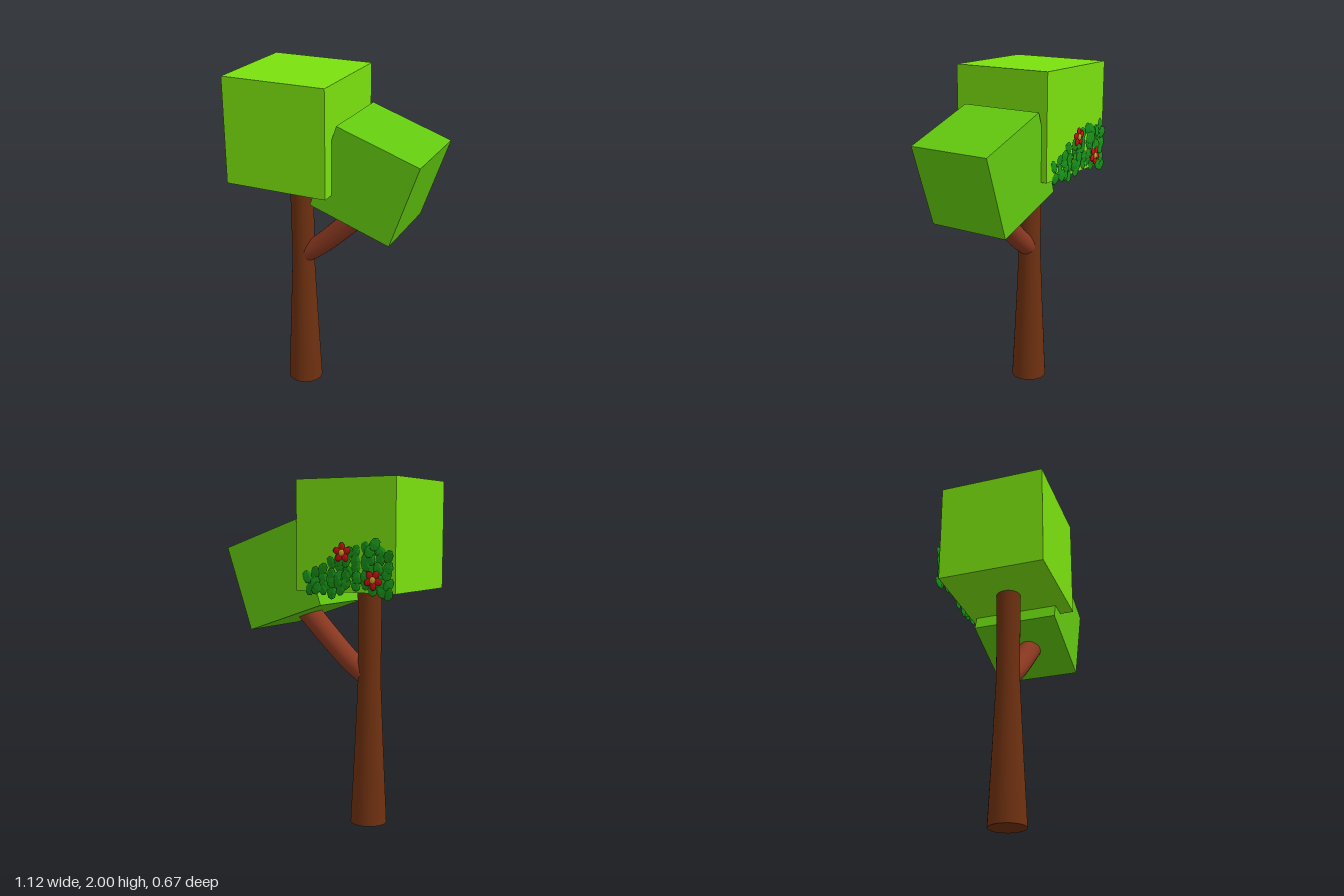
import * as THREE from 'three';

const mat = (color) => new THREE.MeshStandardMaterial({ color });
const flat = (color) => {
  const m = mat(color);
  m.flatShading = true;
  return m;
};

function add(parent, name, geometry, material, x = 0, y = 0, z = 0) {
  const mesh = new THREE.Mesh(geometry, material);
  mesh.name = name;
  mesh.position.set(x, y, z);
  parent.add(mesh);
  return mesh;
}

// Repeatable number in -1..1
function seeded(seed) {
  let s = seed;
  return () => {
    s = (s * 16807) % 2147483647;
    return (s / 2147483647) * 2 - 1;
  };
}

// Tapering branch: a tube with widths set per ring, closed by end caps
function branchGeometry(points, radii, sides) {
  const curve = new THREE.CatmullRomCurve3(points);
  const steps = 12;
  const geo = new THREE.TubeGeometry(curve, steps, 1, sides, false);
  const pos = geo.attributes.position;
  const p = new THREE.Vector3();
  for (let i = 0; i < pos.count; i++) {
    const t = Math.floor(i / (sides + 1)) / steps;
    const c = curve.getPointAt(t);
    p.fromBufferAttribute(pos, i).sub(c);
    p.multiplyScalar(THREE.MathUtils.lerp(radii[0], radii[1], t)).add(c);
    pos.setXYZ(i, p.x, p.y, p.z);
  }
  geo.computeVertexNormals();
  return { geo, curve };
}

// Flat flower with five petals and a round centre, facing -z
function makeFlower(x, y, z, turn) {
  const flower = new THREE.Group();
  flower.name = 'flower';
  const petal = new THREE.SphereGeometry(0.024, 8, 6).scale(1, 0.8, 0.3);
  for (let i = 0; i < 5; i++) {
    const a = turn + (i * Math.PI * 2) / 5;
    const m = add(flower, 'petal', petal, mat(0xc81010), Math.cos(a) * 0.032, Math.sin(a) * 0.032, 0);
    m.rotation.z = a;
  }
  add(flower, 'flowerCentre', new THREE.SphereGeometry(0.019, 8, 6).scale(1, 1, 0.5), mat(0xc8a020), 0, 0, -0.004);
  flower.position.set(x, y, z);
  return flower;
}

export function createModel() {
  const tree = new THREE.Group();
  tree.name = 'tree';
  const zc = 0.025;

  // Trunk, flared at the foot
  const profile = [[0, 0], [0.107, 0], [0.085, 0.45], [0.067, 0.86], [0.069, 1.15], [0.071, 1.42], [0, 1.42]]
    .map(([r, y]) => new THREE.Vector2(r, y));
  const trunkGeo = new THREE.LatheGeometry(profile.slice(1, -1), 32);
  add(tree, 'trunk', trunkGeo, mat(0x6e3010), -0.247, 0, zc);
  const foot = add(tree, 'trunkFoot', new THREE.CircleGeometry(0.107, 32), mat(0x6e3010), -0.247, 0, zc);
  foot.rotation.x = Math.PI / 2;

  // Side branch
  const { geo, curve } = branchGeometry([
    new THREE.Vector3(-0.217, 0.887, zc),
    new THREE.Vector3(-0.125, 0.955, zc),
    new THREE.Vector3(0.03, 1.1, zc),
    new THREE.Vector3(0.2, 1.27, zc),
  ], [0.06, 0.068], 24);
  const bark = mat(0x8a3820);
  add(tree, 'branch', geo, bark);
  const start = curve.getPointAt(0);
  const cap = add(tree, 'branchEnd', new THREE.CircleGeometry(0.06, 24), bark, start.x, start.y, start.z);
  cap.lookAt(start.clone().sub(curve.getTangentAt(0)));

  // Block-shaped crowns
  add(tree, 'largeCrown', new THREE.BoxGeometry(0.617, 0.615, 0.62), mat(0x7ae00e), -0.254, 1.6925, 0.025);
  const small = add(tree, 'smallCrown', new THREE.BoxGeometry(0.505, 0.505, 0.505), mat(0x62c80f), 0.24, 1.461, 0.0025);
  small.rotation.z = -0.33;

  // Patch of thin leaves on the back of the large crown
  const foliage = new THREE.Group();
  foliage.name = 'foliage';
  const leafGeo = new THREE.SphereGeometry(0.036, 6, 4).scale(0.85, 1.05, 0.2);
  const leafMat = flat(0x189018);
  const rand = seeded(77);
  const columns = 11;
  for (let i = 0; i < columns; i++) {
    const x = -0.53 + i * 0.05;
    const upper = x > -0.36
      ? THREE.MathUtils.mapLinear(x, -0.36, 0, 1.63, 1.44)
      : THREE.MathUtils.mapLinear(x, -0.53, -0.36, 1.58, 1.63);
    const lower = x > -0.42 && x < -0.25 ? 1.43 : 1.392;
    const rows = Math.max(2, Math.round((upper - lower) / 0.045) + 1);
    for (let j = 0; j < rows; j++) {
      const y = THREE.MathUtils.lerp(lower, upper, j / (rows - 1));
      const leaf = add(foliage, 'leaf', leafGeo, leafMat,
        Math.max(x + rand() * 0.012, -0.528), y + rand() * 0.012, -0.294 + rand() * 0.007);
      leaf.rotation.set(rand() * 0.15, rand() * 0.18, rand() * 0.7);
    }
  }
  // Two leaves standing off the patch
  for (const [x, y] of [[-0.46, 1.645], [-0.43, 1.61]]) {
    add(foliage, 'leaf', leafGeo, leafMat, x, y, -0.325).rotation.set(0.1, 0.15, 0.4);
  }
  tree.add(foliage);

  tree.add(makeFlower(-0.25, 1.6, -0.308, 0.3), makeFlower(-0.44, 1.457, -0.308, 0.9));
  return tree;
}
